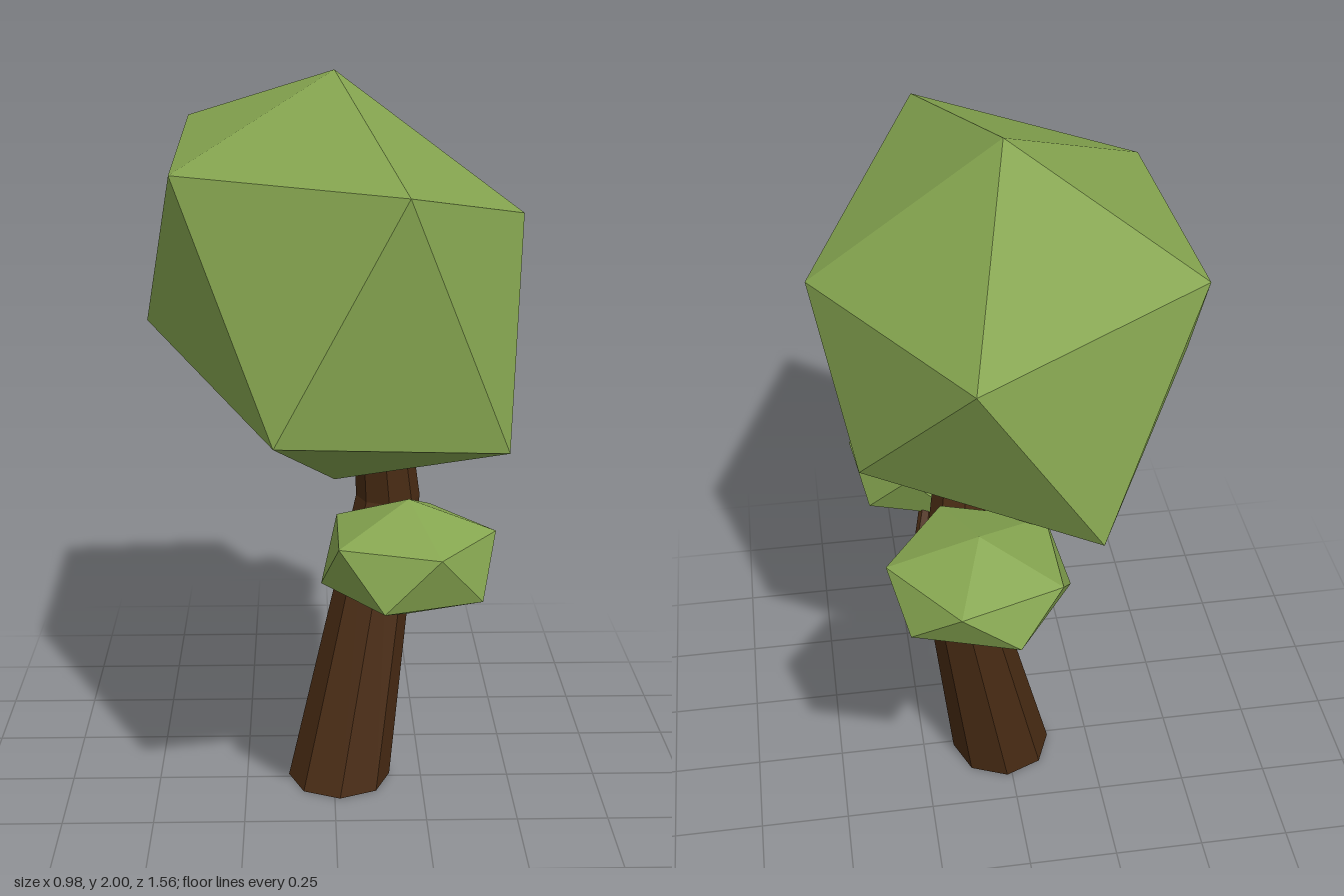
import * as THREE from 'three';

const V = (x, y, z) => new THREE.Vector3(x, y, z);
const bark = new THREE.MeshStandardMaterial({ color: 0x4a2c14, flatShading: true });
const leaf = new THREE.MeshStandardMaterial({ color: 0x86a650, flatShading: true });

// Flat-shaded mesh from a list of triangle corners
function facetMesh(name, corners, material) {
  const geometry = new THREE.BufferGeometry().setFromPoints(corners);
  geometry.computeVertexNormals();
  const mesh = new THREE.Mesh(geometry, material);
  mesh.name = name;
  return mesh;
}

// Twenty-sided leaf clump: two staggered rings of five between two poles
function clump(name, top, upper, lower, bottom) {
  const tris = [];
  for (let i = 0; i < 5; i++) {
    const j = (i + 1) % 5;
    tris.push(top, upper[j], upper[i], upper[i], upper[j], lower[i]);
    tris.push(lower[i], upper[j], lower[j], bottom, lower[i], lower[j]);
  }
  return facetMesh(name, tris, leaf);
}

// Regular clump, squashed in height
function smallClump(name, center, ringRadius, halfHeight) {
  const ring = (turn, dy) => Array.from({ length: 5 }, (_, i) => {
    const a = (i + turn) * Math.PI * 0.4;
    return V(Math.cos(a) * ringRadius, dy, Math.sin(a) * ringRadius).add(center);
  });
  const h = halfHeight * 0.447;
  return clump(name, V(0, halfHeight, 0).add(center), ring(0, h), ring(0.5, -h),
    V(0, -halfHeight, 0).add(center));
}

// Capped tapering limb through sections { p: centre, r: radius, n: ring axis }
function limb(name, sections, sides) {
  const up = V(0, 1, 0);
  const rings = sections.map(({ p, r, n }) => {
    const q = new THREE.Quaternion().setFromUnitVectors(up, n.clone().normalize());
    return Array.from({ length: sides }, (_, i) => {
      const a = (i / sides) * Math.PI * 2;
      return V(Math.cos(a) * r, 0, Math.sin(a) * r).applyQuaternion(q).add(p);
    });
  });
  const tris = [];
  const last = rings.length - 1;
  for (let i = 0; i < sides; i++) {
    const j = (i + 1) % sides;
    for (let k = 0; k < last; k++) {
      const a = rings[k], b = rings[k + 1];
      tris.push(a[i], b[i], b[j], a[i], b[j], a[j]);
    }
    tris.push(sections[0].p, rings[0][i], rings[0][j]);
    tris.push(sections[last].p, rings[last][j], rings[last][i]);
  }
  return facetMesh(name, tris, bark);
}

// Thin branch whose rings follow the direction of its path
function branch(name, points, radii) {
  const sections = points.map((p, i) => ({
    p, r: radii[i],
    n: points[Math.min(i + 1, points.length - 1)].clone().sub(points[Math.max(i - 1, 0)]),
  }));
  return limb(name, sections, 6);
}

export function createModel() {
  const tree = new THREE.Group();
  tree.name = 'tree';

  // Leaning trunk with a bend and a slanted top
  tree.add(limb('trunk', [
    { p: V(0.015, 0, -0.015), r: 0.145, n: V(0, 1, 0) },
    { p: V(0.155, 0.81, -0.145), r: 0.09, n: V(0, 1, 0) },
    { p: V(0.13, 1.07, -0.103), r: 0.076, n: V(-0.2, 0.86, 0.45) },
  ], 8));

  // Branches
  tree.add(branch('frontBranch', [
    V(0.15, 0.74, -0.12), V(0.2, 0.725, 0.01), V(0.22, 0.71, 0.12),
    V(0.2, 0.75, 0.21), V(0.18, 0.81, 0.34),
  ], [0.032, 0.027, 0.023, 0.019, 0.014]));
  tree.add(branch('backBranch', [
    V(0.15, 0.89, -0.14), V(0.12, 0.94, -0.23), V(0.1, 1.0, -0.34),
    V(0.12, 1.08, -0.43), V(0.145, 1.16, -0.54),
  ], [0.034, 0.03, 0.025, 0.02, 0.014]));

  // Main crown, uneven and longest front to back
  tree.add(clump('crown', V(0, 2, 0.02),
    [V(0.49, 1.64, 0.04), V(0.15, 1.79, 0.75), V(-0.4, 1.78, 0.33),
      V(-0.4, 1.84, -0.43), V(0.15, 1.7, -0.6)],
    [V(0.4, 1.17, 0.6), V(-0.15, 1.24, 0.78), V(-0.49, 1.36, 0.03),
      V(-0.15, 1.24, -0.59), V(0.4, 1.26, -0.25)],
    V(0, 0.93, 0.07)));

  // Small clumps at the branch ends
  tree.add(smallClump('frontClump', V(0.18, 0.825, 0.375), 0.22, 0.155));
  tree.add(smallClump('backClump', V(0.145, 1.17, -0.573), 0.22, 0.12));
  return tree;
}
